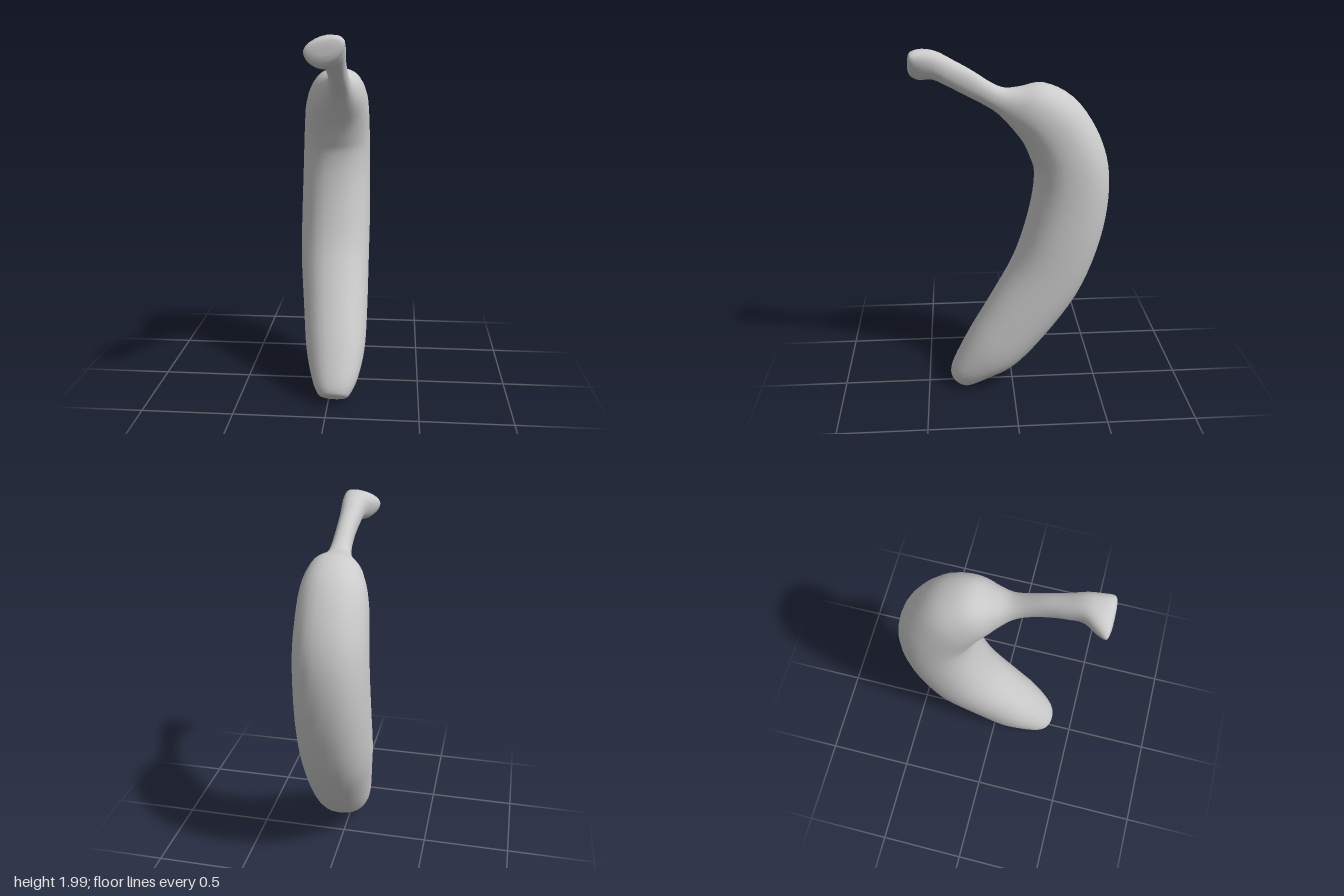
import * as THREE from 'three';

// Cross-sections from blossom tip to stem end:
// [inner z, inner y, outer z, outer y, centre x, half width]
const sections = [
  [0.325, 0.035, 0.325, 0.035, 0.04, 0],
  [0.355, 0.06, 0.29, 0.012, 0.035, 0.055],
  [0.37, 0.09, 0.24, 0.01, 0.03, 0.09],
  [0.345, 0.17, 0.13, 0.065, 0.03, 0.13],
  [0.25, 0.355, -0.02, 0.145, 0.025, 0.168],
  [0.14, 0.54, -0.2, 0.34, 0.015, 0.185],
  [0.0, 0.79, -0.38, 0.595, 0, 0.2],
  [-0.075, 1.01, -0.485, 0.86, -0.002, 0.203],
  [-0.115, 1.2, -0.535, 1.12, -0.002, 0.2],
  [-0.12, 1.33, -0.53, 1.36, 0, 0.196],
  [-0.1, 1.4, -0.46, 1.56, 0.003, 0.19],
  [-0.06, 1.49, -0.33, 1.735, 0.01, 0.178],
  [-0.01, 1.56, -0.17, 1.815, 0.02, 0.145],
  [0.035, 1.615, -0.04, 1.8, 0.03, 0.1],
  [0.09, 1.67, 0.04, 1.797, 0.038, 0.068],
  [0.16, 1.715, 0.11, 1.825, 0.042, 0.055],
  [0.255, 1.765, 0.21, 1.89, 0.04, 0.052],
  [0.35, 1.815, 0.3, 1.94, 0.035, 0.058],
  [0.42, 1.845, 0.395, 1.99, 0.03, 0.068],
  [0.485, 1.838, 0.47, 2.0, 0.01, 0.088],
  [0.53, 1.855, 0.525, 1.985, 0, 0.095],
  [0.545, 1.89, 0.54, 1.96, 0, 0.06],
  [0.545, 1.925, 0.545, 1.925, 0, 0],
];

const SIDES = 28;
const STEPS = 4; // rings per section
const KNOB_START = 17;

// Slightly squared-off circle
const soften = (v) => Math.sign(v) * Math.abs(v) ** 0.9;

function skinGeometry() {
  const curve = (toPoint) =>
    new THREE.CatmullRomCurve3(sections.map(toPoint), false, 'catmullrom', 0.5);
  const inner = curve(([zi, yi, , , x]) => new THREE.Vector3(x, yi, zi));
  const outer = curve(([, , zo, yo, x]) => new THREE.Vector3(x, yo, zo));
  const width = curve((s) => new THREE.Vector3(s[5], 0, 0));

  const spans = sections.length - 1;
  const rings = spans * STEPS;
  const positions = [];
  const indices = [];

  for (let r = 0; r <= rings; r++) {
    const t = r / rings;
    const a = inner.getPoint(t);
    const b = outer.getPoint(t);
    const centre = a.clone().add(b).multiplyScalar(0.5);
    const radius = b.sub(a).multiplyScalar(0.5);
    const halfWidth = Math.max(0, width.getPoint(t).x);
    // The stem end is wider along its top and leans to one side
    const knob = THREE.MathUtils.smoothstep(t * spans, KNOB_START, KNOB_START + 3);

    for (let i = 0; i < SIDES; i++) {
      const angle = (i / SIDES) * Math.PI * 2;
      const c = soften(Math.cos(angle));
      const s = soften(Math.sin(angle));
      const x = c * halfWidth * (1 + 0.25 * knob * s);
      positions.push(
        centre.x + x,
        Math.min(2, centre.y + radius.y * s + 0.2 * knob * x),
        centre.z + radius.z * s
      );
    }
  }

  for (let r = 0; r < rings; r++) {
    for (let i = 0; i < SIDES; i++) {
      const j = (i + 1) % SIDES;
      const a = r * SIDES + i;
      const b = r * SIDES + j;
      indices.push(a, b, b + SIDES, a, b + SIDES, a + SIDES);
    }
  }

  const geometry = new THREE.BufferGeometry();
  geometry.setAttribute('position', new THREE.Float32BufferAttribute(positions, 3));
  geometry.setIndex(indices);
  geometry.computeVertexNormals();
  return geometry;
}

export function createModel() {
  const group = new THREE.Group();
  group.name = 'banana';

  // One continuous skin: tip, curved body, neck and stem
  const skin = new THREE.Mesh(
    skinGeometry(),
    new THREE.MeshStandardMaterial({ color: 0xcccccc })
  );
  skin.name = 'bananaSkin';
  group.add(skin);
  return group;
}
